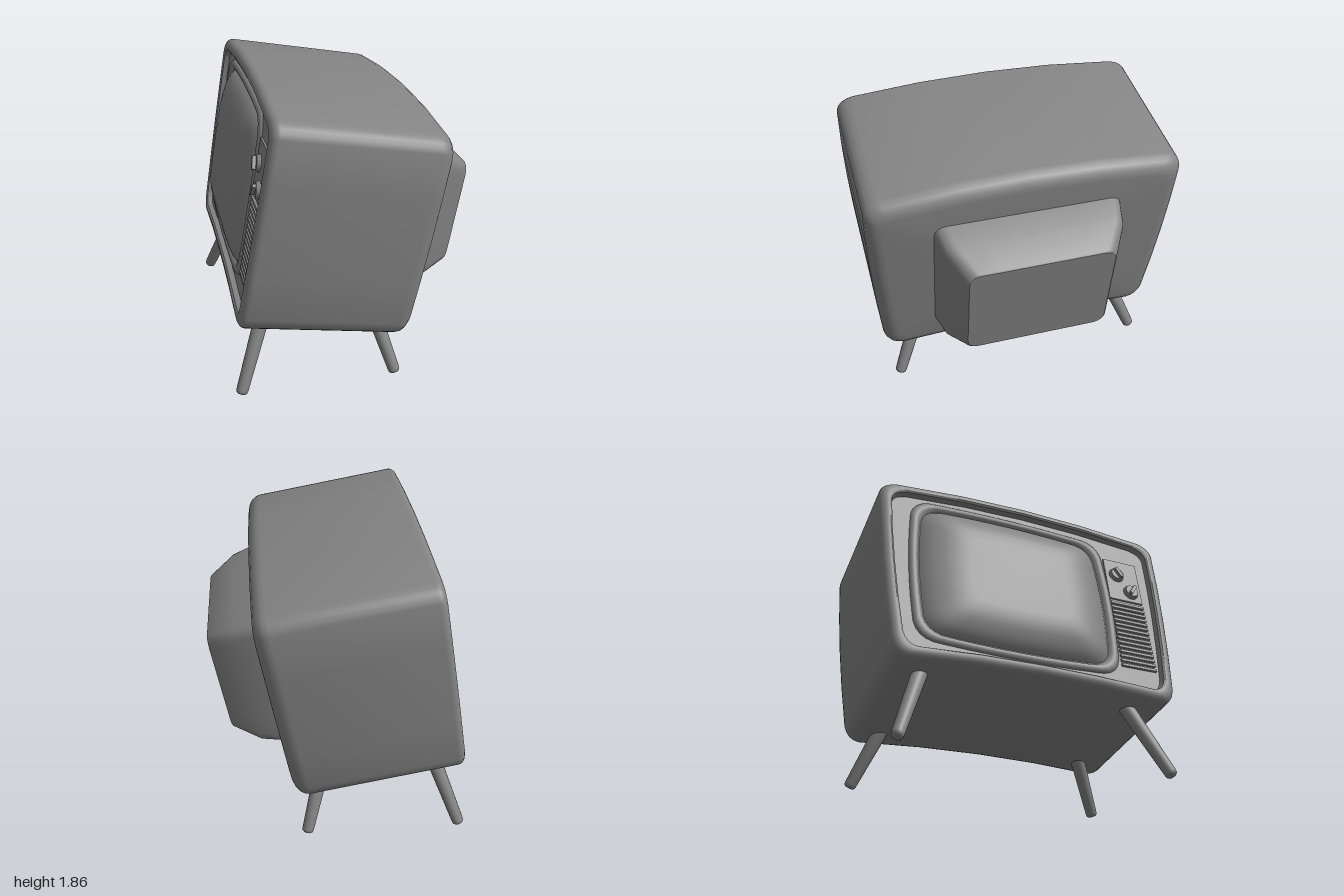
import * as THREE from 'three';
import { toCreasedNormals } from 'three/addons/utils/BufferGeometryUtils.js';

const material = new THREE.MeshStandardMaterial({ color: 0x848484 });

function add(parent, name, geometry, x = 0, y = 0, z = 0) {
  const mesh = new THREE.Mesh(geometry, material);
  mesh.name = name;
  mesh.position.set(x, y, z);
  parent.add(mesh);
  return mesh;
}

// Closed outline from a start point and quadratic control / end points
function outline(start, curves, divisions) {
  const shape = new THREE.Shape().moveTo(...start);
  curves.forEach((c) => shape.quadraticCurveTo(...c));
  const points = shape.getPoints(divisions);
  points.pop();
  return points;
}

// Rounded rectangle whose edges bow outwards by b
function pillow(w, h, r, b) {
  return outline([-w + r, -h], [
    [0, -h - 2 * b, w - r, -h], [w, -h, w, -h + r],
    [w + 2 * b, 0, w, h - r], [w, h, w - r, h],
    [0, h + 2 * b, -w + r, h], [-w, h, -w, h - r],
    [-w - 2 * b, 0, -w, -h + r], [-w, -h, -w + r, -h],
  ], 6);
}

// Skin over sections { loop, z, y }, ordered back to front; ends may be capped
function loft(sections, capBack, capFront, crease = 0.6) {
  const n = sections[0].loop.length;
  const pos = [], index = [];
  for (const { loop, z, y = 0 } of sections) loop.forEach((p) => pos.push(p.x, p.y + y, z));
  for (let i = 0; i < sections.length - 1; i++) {
    for (let j = 0; j < n; j++) {
      const k = (j + 1) % n;
      const a = i * n + j, b = i * n + k, c = a + n, d = b + n;
      index.push(a, b, d, a, d, c);
    }
  }
  const cap = (i, front) => {
    const center = pos.length / 3;
    pos.push(0, sections[i].y || 0, sections[i].z);
    for (let j = 0; j < n; j++) {
      const a = i * n + j, b = i * n + (j + 1) % n;
      index.push(center, front ? a : b, front ? b : a);
    }
  };
  if (capBack) cap(0, false);
  if (capFront) cap(sections.length - 1, true);
  const g = new THREE.BufferGeometry();
  g.setAttribute('position', new THREE.Float32BufferAttribute(pos, 3));
  g.setIndex(index);
  return toCreasedNormals(g, crease);
}

// Cabinet shell with rounded edges and a recessed front panel
function cabinetGeometry() {
  const base = outline([-0.84, -0.7], [
    [0, -0.63, 0.84, -0.7], [0.915, -0.695, 0.935, -0.6],
    [1, 0, 1, 0.55], [0.99, 0.62, 0.9, 0.64],
    [0, 0.75, -0.9, 0.64], [-0.99, 0.62, -1, 0.55],
    [-1, 0, -0.935, -0.6], [-0.915, -0.695, -0.84, -0.7],
  ], 4);
  const ring = (d, z) => ({
    loop: base.map((p) => new THREE.Vector2(p.x * (1 - d / 0.97), p.y * (1 - d / 0.68))), z,
  });
  const sections = [];
  const steps = 5, back = 0.1, front = 0.05, half = 0.549;
  for (let i = 0; i <= steps; i++) {
    const a = (i / steps) * Math.PI / 2;
    sections.push(ring(back * (1 - Math.sin(a)), -half + back * (1 - Math.cos(a))));
  }
  for (let i = 0; i <= steps; i++) {
    const a = (i / steps) * Math.PI / 2;
    sections.push(ring(front * (1 - Math.cos(a)), half - front * (1 - Math.sin(a))));
  }
  sections.push(ring(0.06, half), ring(0.072, 0.54), ring(0.08, 0.505));
  return loft(sections, true, true);
}

// Tapered leg with a softened foot, running from foot to top
function addLeg(parent, name, foot, top) {
  const dir = top.clone().sub(foot);
  const length = dir.length();
  const profile = [[0, 0], [0.026, 0.001], [0.035, 0.01], [0.038, 0.026], [0.05, length], [0, length]]
    .map((p) => new THREE.Vector2(...p));
  const leg = add(parent, name, toCreasedNormals(new THREE.LatheGeometry(profile, 16), 0.8));
  leg.position.copy(foot);
  leg.quaternion.setFromUnitVectors(new THREE.Vector3(0, 1, 0), dir.normalize());
}

export function createModel() {
  const model = new THREE.Group();
  model.name = 'television';

  // Body is made facing +z, then turned towards -x and leaned back
  const body = new THREE.Group();
  body.name = 'body';
  body.rotation.set(-0.178, -Math.PI / 2, 0, 'YXZ');
  body.position.set(-0.118, 1.09, 0);
  model.add(body);

  add(body, 'cabinet', cabinetGeometry());

  // Tapered housing behind the cabinet
  const housing = [
    [0.46, 0.345, -0.881, -0.033], [0.47, 0.354, -0.872, -0.033],
    [0.565, 0.428, -0.703, -0.033], [0.6, 0.458, -0.54, -0.031],
  ].map(([w, h, z, y]) => ({ loop: pillow(w, h, 0.08, 0), z, y }));
  add(body, 'rearHousing', loft(housing, true, false, 0.45));

  // Soft surround and bulging picture tube
  const screenX = -0.11;
  const surround = [
    [0.69, 0.555, 0.5], [0.685, 0.55, 0.515], [0.672, 0.538, 0.525],
    [0.655, 0.522, 0.527], [0.638, 0.508, 0.52], [0.62, 0.492, 0.498],
  ].map(([w, h, z]) => ({ loop: pillow(w, h, 0.18, 0.015), z }));
  add(body, 'screenSurround', loft(surround, false, false, 1.2), screenX);
  const screen = [
    [0.625, 0.495, 0.5], [0.6, 0.475, 0.527], [0.545, 0.435, 0.554], [0.47, 0.375, 0.581],
    [0.39, 0.31, 0.6], [0.33, 0.25, 0.603], [0.2, 0.13, 0.604],
  ].map(([w, h, z]) => ({ loop: pillow(w, h, w * 0.27, w * 0.024), z }));
  add(body, 'screen', loft(screen, false, true, 0.9), screenX);

  // Control plate with two dials
  const controlX = 0.715;
  add(body, 'controlPlate', new THREE.BoxGeometry(0.25, 0.34, 0.02), controlX, 0.25, 0.508);
  for (const [x, y, turn] of [[0.67, 0.29, 0.5], [0.76, 0.16, -0.6]]) {
    const knob = new THREE.Group();
    knob.name = 'knob';
    knob.position.set(x, y, 0.518);
    knob.rotation.z = turn;
    body.add(knob);
    const dial = new THREE.CylinderGeometry(0.045, 0.055, 0.024, 20).rotateX(Math.PI / 2);
    add(knob, 'knobDial', dial, 0, 0, 0.012);
    add(knob, 'knobGrip', new THREE.BoxGeometry(0.024, 0.08, 0.024), 0, 0, 0.034);
  }

  // Speaker grille of horizontal slats
  const slats = 15;
  for (let i = 0; i < slats; i++) {
    add(body, 'grilleSlat', new THREE.BoxGeometry(0.25, 0.018, 0.022),
      controlX, 0.045 - i * 0.036, 0.511);
  }

  // Four splayed legs
  const shift = -0.015;
  for (const [side, s] of [['Left', -1], ['Right', 1]]) {
    addLeg(model, 'frontLeg' + side,
      new THREE.Vector3(-0.768, 0.01, s * 0.865 + shift), new THREE.Vector3(-0.57, 0.52, s * 0.68 + shift));
    addLeg(model, 'rearLeg' + side,
      new THREE.Vector3(0.228, 0.01, s * 0.865 + shift), new THREE.Vector3(0.11, 0.42, s * 0.69 + shift));
  }
  return model;
}
